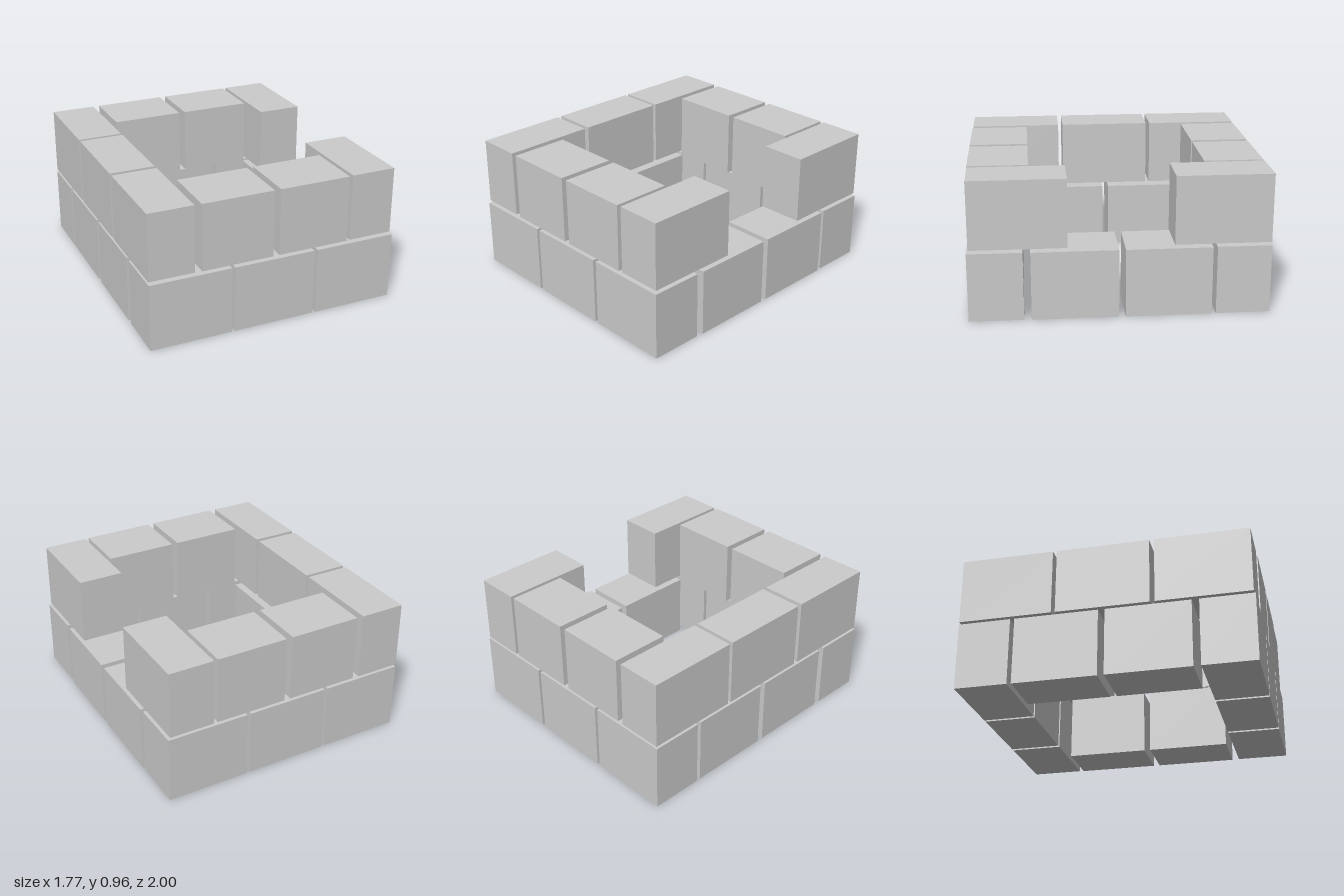
import * as THREE from 'three';

export function createModel() {
  const model = new THREE.Group();
  const material = new THREE.MeshStandardMaterial({ color: 0xcccccc, flatShading: true });
  const lower = new THREE.Group();
  const upper = new THREE.Group();
  lower.name = 'lowerCourse';
  upper.name = 'upperCourse';
  model.add(lower, upper);

  // One block spanning the given ranges
  function block(course, name, [x0, x1], [y0, y1], [z0, z1]) {
    const mesh = new THREE.Mesh(new THREE.BoxGeometry(x1 - x0, y1 - y0, z1 - z0), material);
    mesh.position.set((x0 + x1) / 2, (y0 + y1) / 2, (z0 + z1) / 2);
    mesh.name = name;
    course.add(mesh);
  }

  // Lower course: three blocks front and back, two on each side
  const lowY = [0, 0.471];
  for (const x of [[-0.886, -0.317], [-0.294, 0.281], [0.307, 0.88]]) {
    block(lower, 'lowerFrontBlock', x, lowY, [0.636, 1]);
    block(lower, 'lowerBackBlock', x, lowY, [-1, -0.638]);
  }
  for (const z of [[0.01, 0.587], [-0.609, -0.034]]) {
    block(lower, 'lowerLeftBlock', [0.525, 0.885], lowY, z);
    block(lower, 'lowerRightBlock', [-0.885, -0.53], lowY, z);
  }

  // Upper course: two blocks front and back between the corner blocks
  const highY = [0.49, 0.957];
  for (const x of [[-0.522, -0.02], [0.025, 0.526]]) {
    block(upper, 'upperFrontBlock', x, highY, [0.585, 0.992]);
    block(upper, 'upperBackBlock', x, highY, [-0.998, -0.594]);
  }

  // Upper sides: full on the right, with a doorway gap on the left
  const backZ = [-1, -0.357], middleZ = [-0.33, 0.311], frontZ = [0.344, 0.988];
  for (const z of [backZ, middleZ, frontZ]) {
    block(upper, 'upperRightBlock', [-0.884, -0.569], highY, z);
    if (z !== middleZ) block(upper, 'upperLeftBlock', [0.554, 0.868], highY, z);
  }

  return model;
}
